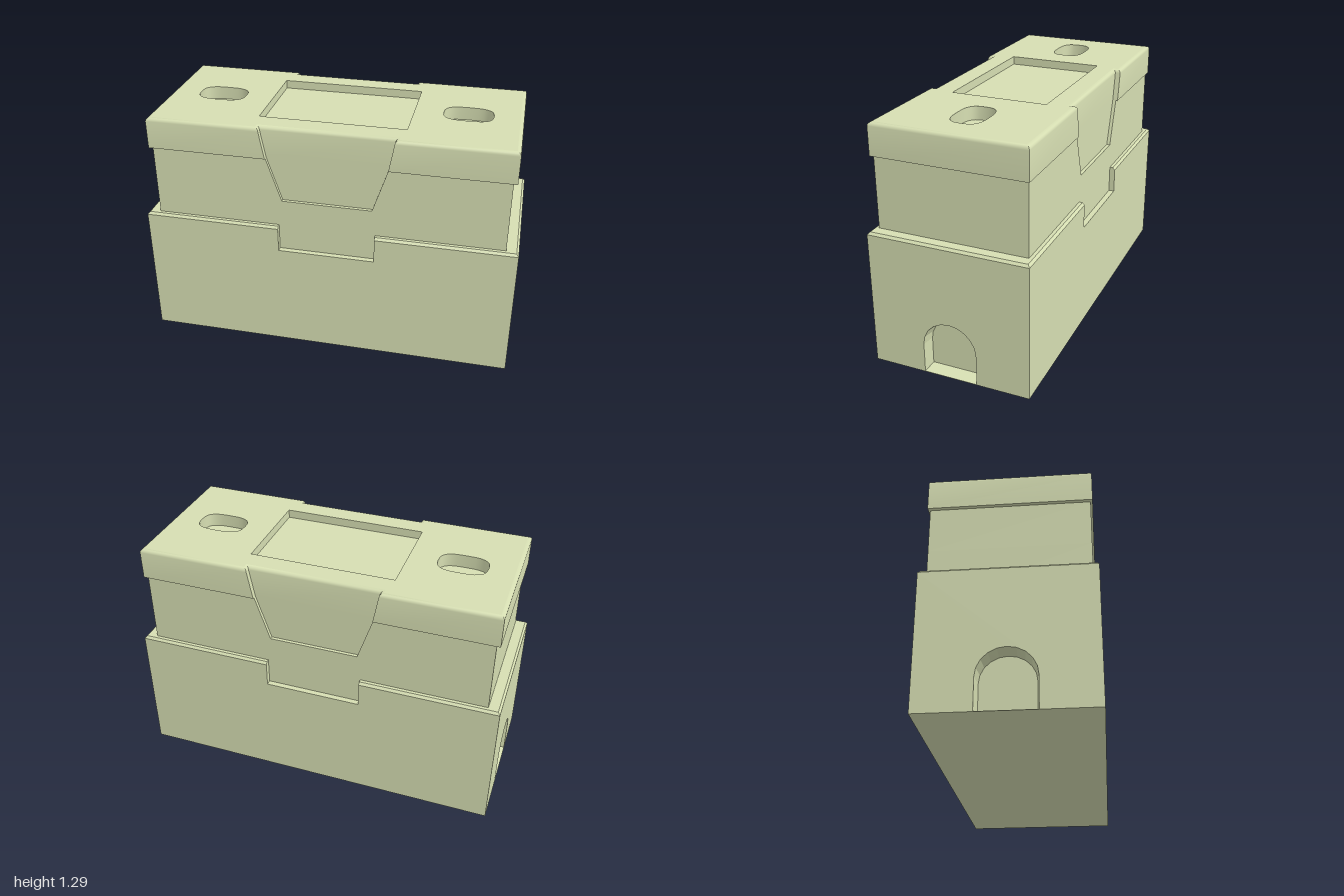
import * as THREE from 'three';
import { toCreasedNormals } from 'three/addons/utils/BufferGeometryUtils.js';

const material = new THREE.MeshStandardMaterial({ color: 0xd6deb2 });

function add(group, name, geometry) {
  const mesh = new THREE.Mesh(geometry, material);
  mesh.name = name;
  group.add(mesh);
  return mesh;
}

const toShape = pts => new THREE.Shape(pts.map(([a, b]) => new THREE.Vector2(a, b)));

// Skin between horizontal rings of [x, z]; rising rings face out, falling rings face in
function loft(rings) {
  const pos = [], index = [], n = rings[0].pts.length;
  rings.forEach(({ y, pts }) => pts.forEach(([x, z]) => pos.push(x, y, z)));
  for (let k = 0; k < rings.length - 1; k++) {
    for (let i = 0; i < n; i++) {
      const j = (i + 1) % n, a = k * n + i, b = k * n + j;
      index.push(a, b, b + n, a, b + n, a + n);
    }
  }
  const geo = new THREE.BufferGeometry();
  geo.setAttribute('position', new THREE.Float32BufferAttribute(pos, 3));
  geo.setIndex(index);
  return toCreasedNormals(geo, 0.65);
}

// Horizontal face looking up, with optional holes
function flat(pts, y, holes = []) {
  const flip = list => list.map(([x, z]) => [x, -z]);
  const shape = toShape(flip(pts));
  holes.forEach(h => shape.holes.push(toShape(flip(h))));
  return new THREE.ShapeGeometry(shape).rotateX(-Math.PI / 2).translate(0, y, 0);
}

// Profile of [z, y] extruded from x0 to x1
function extrudeX(pts, x0, x1, hole) {
  const shape = toShape(pts);
  if (hole) shape.holes.push(toShape(hole));
  return new THREE.ExtrudeGeometry(shape, { depth: x1 - x0, bevelEnabled: false })
    .rotateY(Math.PI / 2).translate(x0, 0, 0);
}

// Move every vertex by a rule, then refresh the normals
function reshape(geo, rule) {
  const p = geo.attributes.position, v = new THREE.Vector3();
  for (let i = 0; i < p.count; i++) {
    rule(v.fromBufferAttribute(p, i));
    p.setXYZ(i, v.x, v.y, v.z);
  }
  geo.computeVertexNormals();
  return geo;
}

// Rectangle footprint with a shallow notch in the front and back sides
function footprint(hx, hz, notch, notchZ, inset = 0) {
  const x = hx - inset, z = hz - inset, n = notch + inset, d = notchZ - inset;
  const front = [[-x, z], [-n, z], [-n, d], [n, d], [n, z], [x, z]];
  return [...front, ...front.map(([a, b]) => [-a, -b])];
}

const block = (hz, y0, y1) => [[-hz, y0], [hz, y0], [hz, y1], [-hz, y1]];

// One end of the base: side wall, chamfered rim and arched niche
function baseEnd() {
  const group = new THREE.Group();
  add(group, 'baseSide', extrudeX(block(0.43, 0, 0.722), 0.26, 0.93));

  const arch = [[-0.145, 0.002], [0.145, 0.002]];
  for (let i = 0; i <= 10; i++) {
    const a = i / 10 * Math.PI;
    arch.push([0.145 * Math.cos(a), 0.165 + 0.145 * Math.sin(a)]);
  }
  // the niche narrows slightly inwards
  const end = reshape(extrudeX(block(0.43, 0, 0.722), 0.93, 1, arch), v => {
    if (v.x < 0.95 && v.y > 0.001 && v.y < 0.35 && Math.abs(v.z) < 0.2) {
      v.z *= 0.93;
      v.y = 0.014 + v.y * 0.905;
    }
  });
  add(group, 'archedEnd', end);

  const rim = extrudeX([[-0.43, 0.722], [0.43, 0.722], [0.418, 0.735], [-0.418, 0.735]], 0.26, 1);
  add(group, 'baseRim', reshape(rim, v => { if (v.x > 0.99 && v.y > 0.73) v.x = 0.988; }));
  return group;
}

export function createModel() {
  const model = new THREE.Group();
  model.name = 'liddedBox';

  // Base
  add(model, 'baseMiddle', extrudeX(block(0.43, 0, 0.59), -0.26, 0.26));
  for (const side of [1, -1]) {
    const end = baseEnd();
    end.name = side > 0 ? 'leftBase' : 'rightBase';
    if (side < 0) end.rotation.y = Math.PI;
    model.add(end);
  }

  // Upper box with tapered grip recesses front and back
  add(model, 'upperBox', loft([
    { y: 0.58, pts: footprint(0.935, 0.4, 0.24, 0.4) },
    { y: 0.88, pts: footprint(0.935, 0.4, 0.24, 0.4) },
    { y: 0.88, pts: footprint(0.935, 0.4, 0.24, 0.382) },
    { y: 1.12, pts: footprint(0.935, 0.4, 0.32, 0.382) },
  ]));

  // Lid walls: overhanging lip, then a rounded top edge
  const top = 1.29, r = 0.02;
  const rings = [
    { y: 1.12, pts: footprint(0.935, 0.4, 0.32, 0.382) },
    { y: 1.12, pts: footprint(0.955, 0.41, 0.32, 0.382) },
  ];
  for (let i = 0; i <= 4; i++) {
    const a = i / 4 * Math.PI / 2;
    rings.push({
      y: top - r + r * Math.sin(a),
      pts: footprint(0.955, 0.41, 0.348, 0.382, r * (1 - Math.cos(a))),
    });
  }
  add(model, 'lidWalls', loft(rings));

  // Sunken tray and two finger slots in the lid
  const tray = [[-0.387, 0.26], [0.387, 0.26], [0.387, -0.26], [-0.387, -0.26]];
  const slot = cx => Array.from({ length: 28 }, (_, i) => {
    const a = -i / 28 * Math.PI * 2, c = Math.cos(a), s = Math.sin(a);
    const round = v => Math.sign(v) * Math.pow(Math.abs(v), 0.66);
    return [cx + 0.13 * round(c), 0.088 * round(s)];
  });
  const pockets = [
    { name: 'tray', pts: tray, depth: 0.045 },
    { name: 'leftSlot', pts: slot(0.67).reverse(), depth: 0.07 },
    { name: 'rightSlot', pts: slot(-0.67).reverse(), depth: 0.07 },
  ];
  // rings must run anticlockwise seen from above
  for (const p of pockets) {
    const area = p.pts.reduce((sum, [x, z], i) => {
      const [x2, z2] = p.pts[(i + 1) % p.pts.length];
      return sum + x2 * z - x * z2;
    }, 0);
    if (area < 0) p.pts.reverse();
    add(model, p.name + 'Walls', loft([{ y: top, pts: p.pts }, { y: top - p.depth, pts: p.pts }]));
    add(model, p.name + 'Floor', flat(p.pts, top - p.depth));
  }
  add(model, 'lidTop', flat(rings.at(-1).pts, top, pockets.map(p => p.pts)));

  return model;
}
